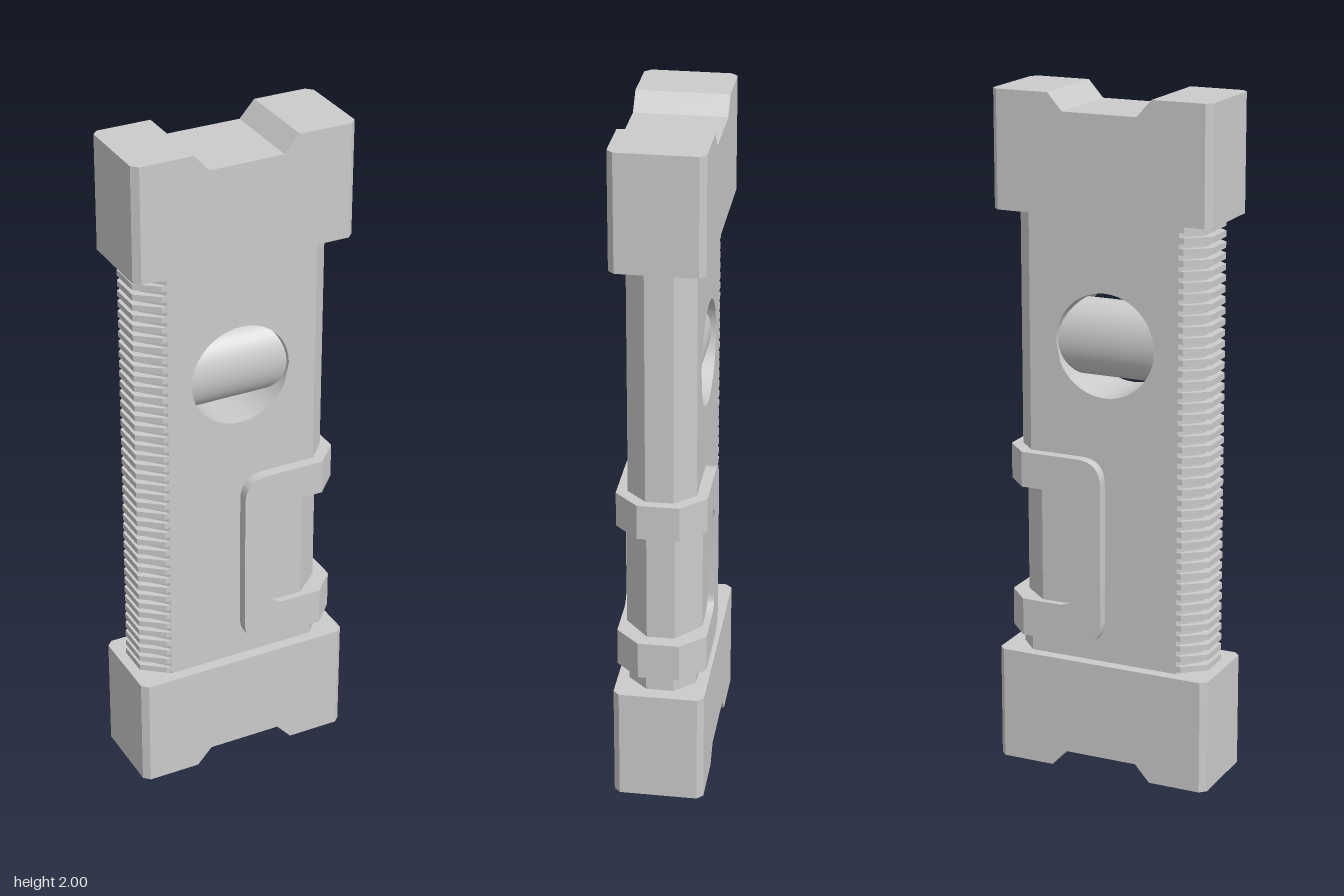
import * as THREE from 'three';
import { toCreasedNormals } from 'three/addons/utils/BufferGeometryUtils.js';

const material = new THREE.MeshStandardMaterial({ color: 0xcccccc });

function polygon(points) {
  return new THREE.Shape(points.map(([x, y]) => new THREE.Vector2(x, y)));
}

// Plate with front outline "shape"; the outer ends (|x| near edge) are
// chamfered towards the front and back by dx and dz.
function chamferedPlate(shape, half, edges, dx, dz) {
  const geo = new THREE.ExtrudeGeometry(shape, { depth: 3, steps: 3, bevelEnabled: false, curveSegments: 24 });
  const layers = [-half, -half + dz, half - dz, half];
  const p = geo.attributes.position;
  for (let i = 0; i < p.count; i++) {
    const layer = Math.round(p.getZ(i));
    const x = p.getX(i);
    if ((layer === 0 || layer === 3) && edges.some((e) => Math.abs(x - e) < 1e-4)) {
      p.setX(i, x - Math.sign(x) * dx);
    }
    p.setZ(i, layers[layer]);
  }
  geo.computeVertexNormals();
  return toCreasedNormals(geo, 0.5);
}

export function createModel() {
  const model = new THREE.Group();
  const add = (name, geo, parent = model) => {
    const mesh = new THREE.Mesh(geo, material);
    mesh.name = name;
    parent.add(mesh);
    return mesh;
  };

  // Main body with round window and side notch
  const body = polygon([
    [-0.28, 0.32], [0.29, 0.32], [0.29, 0.5], [0.06, 0.5],
    [0.06, 0.86], [0.29, 0.86], [0.29, 1.68], [-0.28, 1.68],
  ]);
  const hole = new THREE.Path();
  hole.absarc(0, 1.29, 0.152, 0, Math.PI * 2, true);
  body.holes.push(hole);
  add('body', chamferedPlate(body, 0.098, [-0.28, 0.29], 0.055, 0.058));

  // Notched end blocks, mirrored top and bottom
  const endShape = polygon([
    [-0.333, 0], [-0.157, 0], [-0.112, 0.05], [0.112, 0.05],
    [0.157, 0], [0.333, 0], [0.333, 0.34], [-0.333, 0.34],
  ]);
  const endGeo = chamferedPlate(endShape, 0.132, [-0.333, 0.333], 0.018, 0.018);
  add('bottomBlock', endGeo);
  const top = add('topBlock', endGeo);
  top.rotation.z = Math.PI;
  top.position.y = 2;

  // Grip ribs along the right-hand edge
  const ribs = new THREE.Group();
  ribs.name = 'gripRibs';
  model.add(ribs);
  const ribShape = polygon([[-0.305, -0.009], [-0.2, -0.009], [-0.2, 0.009], [-0.305, 0.009]]);
  const ribGeo = chamferedPlate(ribShape, 0.098, [-0.305], 0.065, 0.05);
  const ribCount = 42;
  for (let i = 0; i < ribCount; i++) {
    add('rib', ribGeo, ribs).position.y = 0.34 + ((i + 0.5) * 1.32) / ribCount;
  }

  // Horizontal vial in the round window
  const vialGeo = new THREE.CylinderGeometry(0.112, 0.112, 0.36, 40);
  vialGeo.rotateZ(Math.PI / 2);
  vialGeo.scale(1, 1, 0.75);
  add('horizontalVial', vialGeo).position.y = 1.29;

  // Vertical vial in the side notch
  const sideVial = polygon([[0.04, 0.45], [0.275, 0.45], [0.275, 0.91], [0.04, 0.91]]);
  add('verticalVial', chamferedPlate(sideVial, 0.11, [0.275], 0.08, 0.07));

  // C-shaped frame that wraps the vertical vial
  const frame = new THREE.Shape();
  frame.moveTo(0.317, 0.395);
  frame.lineTo(0.317, 0.508);
  frame.lineTo(0.135, 0.508);
  frame.quadraticCurveTo(0.085, 0.508, 0.085, 0.558);
  frame.lineTo(0.085, 0.802);
  frame.quadraticCurveTo(0.085, 0.852, 0.135, 0.852);
  frame.lineTo(0.317, 0.852);
  frame.lineTo(0.317, 0.957);
  frame.lineTo(0.075, 0.957);
  frame.quadraticCurveTo(0, 0.957, 0, 0.882);
  frame.lineTo(0, 0.47);
  frame.quadraticCurveTo(0, 0.395, 0.075, 0.395);
  frame.closePath();
  add('vialFrame', chamferedPlate(frame, 0.13, [0.317], 0.067, 0.07));

  return model;
}
